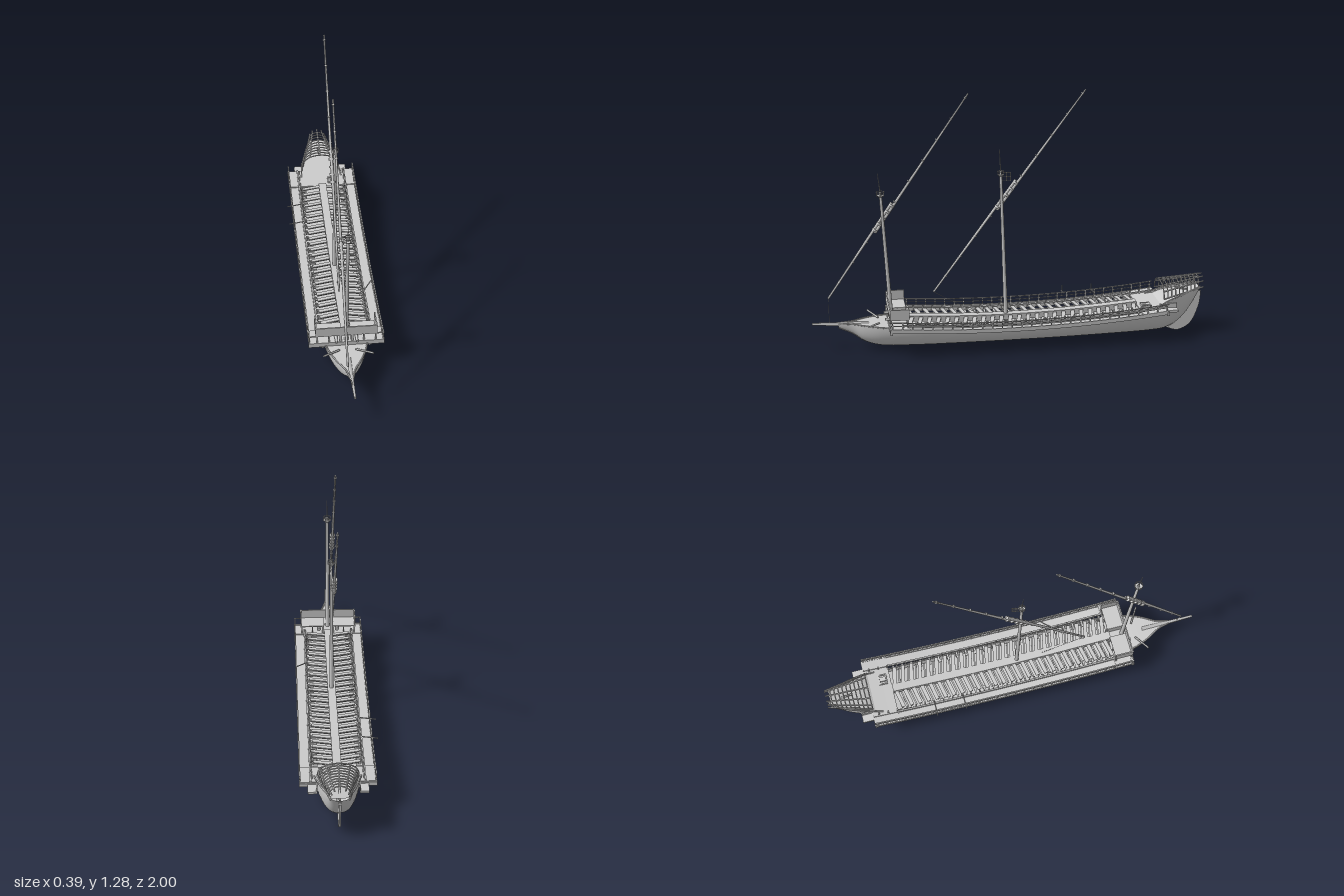
import * as THREE from 'three';

const grey = new THREE.MeshStandardMaterial({ color: 0xcccccc, side: THREE.DoubleSide });
const V = (x, y, z) => new THREE.Vector3(x, y, z);
const sheer = z => 0.04 * (z / 0.75) ** 2;

// hull stations: z, keel height, gunwale height, half width
const stations = [
  [0.87, 0.118, 0.14, 0.006], [0.8, 0.085, 0.14, 0.025], [0.74, 0.043, 0.14, 0.06], [0.66, 0.02, 0.138, 0.092],
  [0.5, 0.016, 0.128, 0.12], [0.2, 0.015, 0.112, 0.13], [-0.2, 0.015, 0.11, 0.13], [-0.5, 0.016, 0.13, 0.124],
  [-0.72, 0.018, 0.165, 0.112], [-0.8, 0.025, 0.2, 0.1], [-0.87, 0.06, 0.218, 0.082],
  [-0.93, 0.13, 0.235, 0.062], [-0.98, 0.225, 0.25, 0.045],
];
const lineA = new THREE.CatmullRomCurve3(stations.map(s => V(s[1], s[2], s[0])));
const lineB = new THREE.CatmullRomCurve3(stations.map(s => V(s[3], 0, s[0])));
const RINGS = 60;

function rings() {
  return Array.from({ length: RINGS + 1 }, (_, i) => {
    const a = lineA.getPoint(i / RINGS), b = lineB.getPoint(i / RINGS);
    return { z: a.z, keel: a.x, top: a.y, w: b.x };
  });
}

// Skin a list of equal-length point rows
function skin(rows) {
  const n = rows[0].length, index = [];
  for (let i = 0; i < rows.length - 1; i++)
    for (let j = 0; j < n - 1; j++) {
      const a = i * n + j, b = a + n;
      index.push(a, a + 1, b, b, a + 1, b + 1);
    }
  const g = new THREE.BufferGeometry().setFromPoints(rows.flat());
  g.setIndex(index);
  g.computeVertexNormals();
  return g;
}

export function createModel() {
  const root = new THREE.Group();
  root.name = 'galley';
  root.position.x = 0.008;

  const add = (name, geo, parent = root) => {
    const m = new THREE.Mesh(geo, grey);
    m.name = name;
    parent.add(m);
    return m;
  };
  const group = name => {
    const g = new THREE.Group();
    g.name = name;
    root.add(g);
    return g;
  };
  const box = (name, w, h, d, x, y, z, parent) => {
    const m = add(name, new THREE.BoxGeometry(w, h, d), parent);
    m.position.set(x, y, z);
    return m;
  };
  // round bar between two points
  const bar = (name, a, b, r0, r1 = r0, parent = root, sides = 6) => {
    const m = add(name, new THREE.CylinderGeometry(r1, r0, a.distanceTo(b), sides), parent);
    m.position.copy(a).add(b).multiplyScalar(0.5);
    m.quaternion.setFromUnitVectors(V(0, 1, 0), b.clone().sub(a).normalize());
    return m;
  };
  // long plank whose height follows the sheer
  const plank = (name, x, w, y, h, z0, z1, parent) => {
    const g = new THREE.BoxGeometry(w, h, z1 - z0, 1, 1, 24);
    g.translate(x, y, (z0 + z1) / 2);
    const p = g.attributes.position;
    for (let i = 0; i < p.count; i++) p.setY(i, p.getY(i) + sheer(p.getZ(i)));
    g.computeVertexNormals();
    return add(name, g, parent);
  };

  // Hull shell, inner floor, end decks and keel
  const all = rings();
  add('hull', skin(all.map(r => Array.from({ length: 25 }, (_, j) => {
    const t = (j / 12 - 1) * Math.PI / 2;
    return V(-Math.sign(t) * r.w * Math.abs(Math.sin(t)) ** 0.8, r.keel + (r.top - r.keel) * (1 - Math.cos(t)), r.z);
  }))));
  const deck = (name, test, drop, k) => add(name, skin(all.filter(test).map(r =>
    [V(r.w * k, r.top - drop, r.z), V(-r.w * k, r.top - drop, r.z)])));
  deck('bowDeck', r => r.z > 0.5, 0.003, 1);
  deck('rowingFloor', r => r.z < 0.56 && r.z > -0.7, 0.03, 0.94);
  deck('sternDeck', r => r.z < -0.7, 0.01, 0.98);
  const keelPath = new THREE.CatmullRomCurve3(all.map(r => V(0, r.keel, r.z)));
  add('keel', new THREE.TubeGeometry(keelPath, 80, 0.005, 6));
  for (const s of [-1, 1])
    add('wale', new THREE.TubeGeometry(new THREE.CatmullRomCurve3(all.map(r => V(s * r.w, r.top, r.z))), 80, 0.004, 6));

  // Beak and catheads
  const beak = bar('beak', V(0, 0.128, 0.72), V(0, 0.143, 1), 0.014, 0.007, root, 4);
  beak.rotateY(Math.PI / 4);
  for (const s of [-1, 1]) bar('cathead', V(s * 0.04, 0.145, 0.67), V(s * 0.12, 0.158, 0.72), 0.005);

  // Rudder
  const rs = new THREE.Shape();
  rs.moveTo(-0.995, 0.21);
  rs.splineThru([[-0.985, 0.13], [-0.945, 0.04], [-0.88, 0.003], [-0.82, 0.018]].map(p => new THREE.Vector2(...p)));
  rs.splineThru([[-0.88, 0.06], [-0.935, 0.13], [-0.975, 0.21]].map(p => new THREE.Vector2(...p)));
  const rudder = new THREE.ExtrudeGeometry(rs, { depth: 0.01, bevelEnabled: false });
  rudder.translate(0, 0, -0.005).rotateY(-Math.PI / 2);
  add('rudder', rudder);
  bar('tiller', V(0, 0.205, -0.985), V(0, 0.235, -0.86), 0.005);

  // Outriggers: walkways, brackets, tholes and railings on both sides
  const outrigger = group('outriggers');
  for (const s of [-1, 1]) {
    plank('walkway', s * 0.157, 0.048, 0.122, 0.008, -0.78, 0.62, outrigger);
    plank('outerEdge', s * 0.181, 0.006, 0.124, 0.02, -0.78, 0.62, outrigger);
    plank('innerEdge', s * 0.13, 0.008, 0.132, 0.014, -0.78, 0.56, outrigger);
    plank('handRail', s * 0.18, 0.006, 0.167, 0.005, -0.78, 0.62, outrigger);
    plank('midRail', s * 0.18, 0.003, 0.15, 0.003, -0.78, 0.62, outrigger);
    for (let i = 0; i <= 28; i++) {
      const z = -0.77 + i * 0.0494, y = sheer(z);
      box('railPost', 0.006, 0.045, 0.006, s * 0.18, 0.145 + y, z, outrigger);
      bar('bracket', V(s * 0.11, 0.09 + y, z), V(s * 0.178, 0.12 + y, z), 0.006, 0.004, outrigger, 4);
      box('crossBeam', 0.05, 0.008, 0.01, s * 0.117, 0.118 + y, z, outrigger);
      if (z < 0.53) box('thole', 0.008, 0.028, 0.008, s * 0.124, 0.14 + y, z + 0.02, outrigger);
    }
  }
  box('bowCrossBeam', 0.37, 0.025, 0.012, 0, 0.142, 0.618);
  box('sternCrossBeam', 0.37, 0.02, 0.012, 0, 0.16, -0.778);

  // Central gangway and angled rowing benches
  plank('gangway', 0, 0.042, 0.132, 0.03, -0.65, 0.54);
  const benches = group('benches');
  for (let i = 0; i < 26; i++) {
    const z = -0.625 + i * 0.0455;
    for (const s of [-1, 1]) {
      const b = box('bench', 0.1, 0.006, 0.02, s * 0.064, 0.138 + sheer(z), z, benches);
      b.rotation.y = -s * 0.2;
      const f = box('footRest', 0.09, 0.005, 0.008, s * 0.064, 0.112 + sheer(z), z + 0.024, benches);
      f.rotation.y = -s * 0.2;
    }
  }

  // Aft platform with hatch, and side steps
  plank('aftPlatform', 0, 0.364, 0.128, 0.008, -0.78, -0.65);
  const hatch = group('hatch');
  hatch.position.set(0.06, 0.169, -0.69);
  for (const s of [-1, 1]) {
    box('coaming', 0.006, 0.012, 0.045, s * 0.025, 0, 0, hatch);
    box('coaming', 0.05, 0.012, 0.006, 0, 0, s * 0.021, hatch);
    box('sternStep', 0.045, 0.012, 0.06, s * 0.122, 0.158, -0.81);
    box('stepPanel', 0.006, 0.03, 0.06, s * 0.102, 0.172, -0.81);
  }
  box('hatchGrate', 0.024, 0.014, 0.034, 0, 0, 0, hatch);

  // Stern canopy of hoops and stringers
  const canopy = group('canopy');
  const hoopPoint = (u, a) => {
    const base = 0.208 + 0.035 * u, peak = 0.28 + 0.024 * u, w = 0.098 - 0.053 * u;
    return V(w * Math.cos(a), base + (peak - base) * Math.sin(a) ** 0.8, -0.775 - 0.215 * u);
  };
  const angles = Array.from({ length: 13 }, (_, j) => Math.max(0, Math.sin(j * Math.PI / 12) < 1e-9 ? 0 : j * Math.PI / 12));
  angles[12] = Math.PI - 1e-6;
  for (let i = 0; i <= 9; i++) {
    const hoop = new THREE.CatmullRomCurve3(angles.map(a => hoopPoint(i / 10, a)));
    add('hoop', new THREE.TubeGeometry(hoop, 20, 0.0035, 5), canopy);
  }
  for (const a of [0, 0.45, 0.95, Math.PI / 2, Math.PI - 0.95, Math.PI - 0.45, Math.PI - 1e-6])
    bar('stringer', hoopPoint(0, a), hoopPoint(1.03, a), 0.004, 0.004, canopy);

  // Forecastle: platform, posts and two parapet boxes
  const fore = group('forecastle');
  box('platform', 0.364, 0.008, 0.095, 0, 0.147, 0.573, fore);
  for (const s of [-1, 1]) {
    box('roof', 0.125, 0.006, 0.09, s * 0.085, 0.195, 0.575, fore);
    box('frontPanel', 0.135, 0.05, 0.006, s * 0.08, 0.221, 0.62, fore);
    box('sidePanel', 0.006, 0.055, 0.095, s * 0.147, 0.22, 0.575, fore);
    box('innerWall', 0.006, 0.045, 0.09, s * 0.025, 0.172, 0.575, fore);
    for (const x of [0.03, 0.085, 0.143])
      for (const z of [0.533, 0.617]) box('post', 0.007, 0.05, 0.007, s * x, 0.172, z, fore);
    bar('gunBarrel', V(s * 0.05, 0.163, 0.55), V(s * 0.05, 0.166, 0.64), 0.009, 0.006, fore, 10);
    box('frontRail', 0.04, 0.005, 0.005, s * 0.164, 0.194, 0.618, fore);
  }
  box('centreFrontPanel', 0.03, 0.05, 0.006, 0, 0.221, 0.62, fore);

  // Masts with lookouts
  const mast = (name, foot, head, tip, nest) => {
    const g = group(name);
    bar('mastPole', foot, head, 0.011, 0.007, g, 10);
    bar('topPole', head, tip, 0.003, 0.0015, g);
    const n = new THREE.Group();
    n.name = 'lookout';
    n.position.copy(head);
    g.add(n);
    add('nestFloor', new THREE.CylinderGeometry(nest, nest * 0.6, 0.008, 12), n).position.y = -0.02;
    const rim = add('nestRim', new THREE.TorusGeometry(nest, 0.002, 5, 16), n);
    rim.rotation.x = Math.PI / 2;
    for (let i = 0; i < 6; i++) {
      const a = i * Math.PI / 3, x = nest * Math.cos(a), z = nest * Math.sin(a);
      bar('nestPost', V(x, -0.02, z), V(x, 0.002, z), 0.0015, 0.0015, n, 4);
    }
    return n;
  };
  const mainNest = mast('mainMast', V(0, 0.06, 0.022), V(0, 0.89, 0.05), V(0, 1, 0.056), 0.016);
  mast('foreMast', V(0, 0.1, 0.602), V(0, 0.81, 0.645), V(0, 0.905, 0.656), 0.02);
  for (const y of [-0.045, -0.025, -0.005]) bar('bracketArm', V(0, y, 0), V(0.012, y, -0.05), 0.002, 0.002, mainNest, 4);
  for (const z of [-0.028, -0.048]) bar('bracketUpright', V(0.01, -0.048, z), V(0.01, -0.003, z), 0.002, 0.002, mainNest, 4);

  // Lateen yards: two spars lashed together
  const yard = (name, x, low, high, t) => {
    const g = group(name), a = V(x, low[1], low[0]), b = V(x, high[1], high[0]);
    const at = (u, off) => a.clone().lerp(b, u).add(V(0, off * 0.6, off * 0.8));
    bar('lowerSpar', at(0, 0), at(t + 0.07, 0.008), 0.005, 0.008, g, 8);
    bar('upperSpar', at(t - 0.07, -0.008), at(1, 0), 0.008, 0.004, g, 8);
    for (const d of [-0.06, -0.03, 0, 0.03, 0.06]) bar('lashing', at(t + d - 0.004, 0), at(t + d + 0.004, 0), 0.015, 0.015, g, 10);
    for (let u = 0.08; u < 1; u += 0.1) bar('band', at(u - 0.002, 0), at(u + 0.002, 0), 0.008, 0.008, g, 8);
  };
  yard('mainYard', -0.013, [0.39, 0.275], [-0.375, 1.285], 0.485);
  yard('foreYard', -0.026, [0.915, 0.265], [0.205, 1.28], 0.4);

  // Ropes and side poles
  bar('foreRope', V(-0.026, 0.265, 0.915), V(0, 0.14, 0.915), 0.001, 0.001, root, 4);
  bar('mainRope', V(-0.013, 0.275, 0.39), V(0.0, 0.15, 0.165), 0.001, 0.001, root, 4);
  for (const z of [-0.3, -0.455]) {
    bar('sidePole', V(-0.18, 0.16, z), V(-0.18, 0.215, z), 0.002);
    bar('sideArm', V(-0.208, 0.175, z), V(-0.13, 0.188, z), 0.003);
  }
  bar('sideArm', V(0.13, 0.15, 0.245), V(0.182, 0.172, 0.18), 0.003);
  return root;
}
